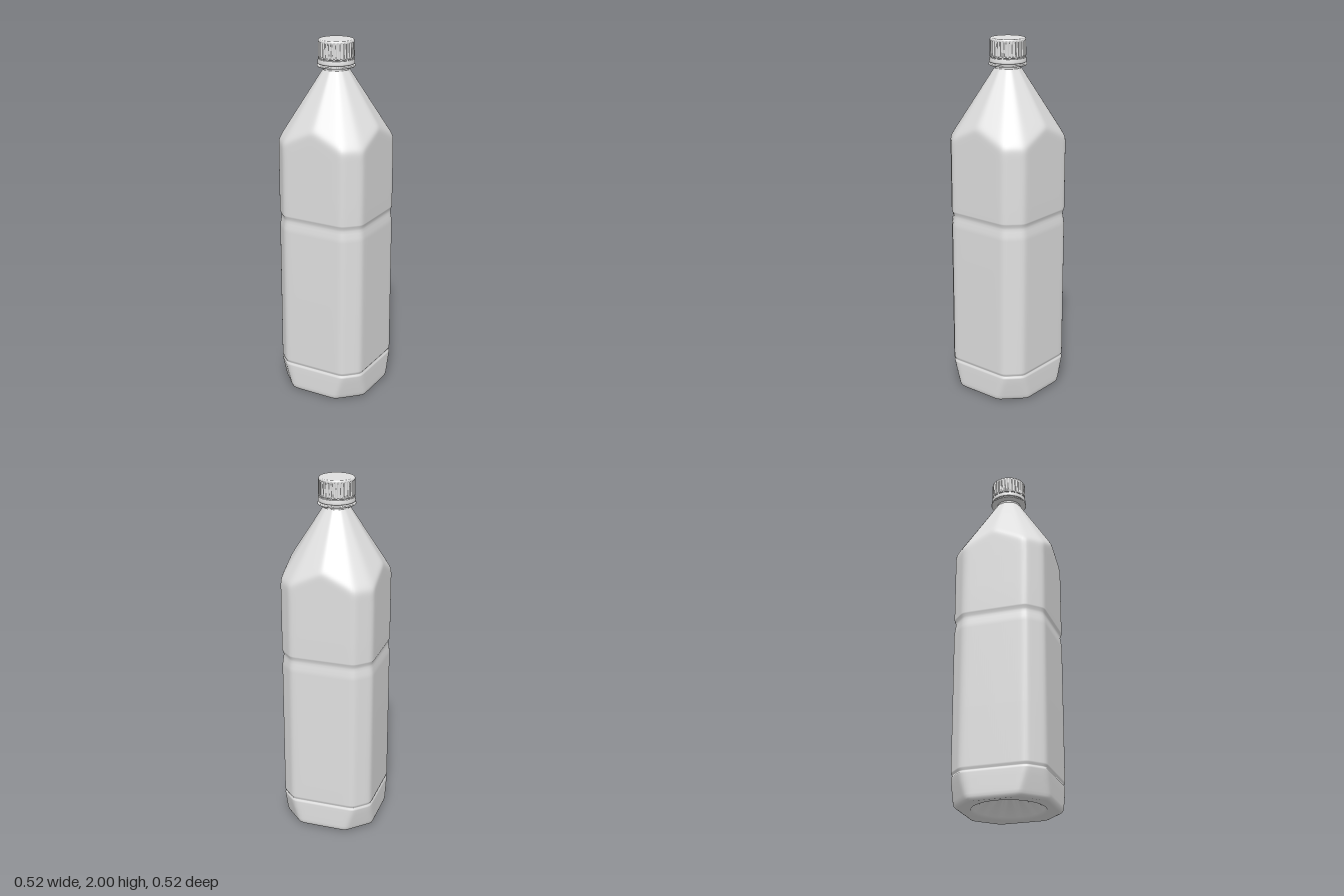
import * as THREE from 'three';

const plastic = new THREE.MeshStandardMaterial({ color: 0xe0e0e0 });
plastic.name = 'pale grey plastic';

// Skin a stack of closed rings; each row is a function angle -> [radius, y].
// Repeating a row gives a sharp edge.
function loft(rows, segs) {
  const pos = [], idx = [];
  rows.forEach((row, i) => {
    for (let j = 0; j < segs; j++) {
      const t = (j / segs) * Math.PI * 2;
      const [r, y] = row(t);
      pos.push(r * Math.cos(t), y, r * Math.sin(t));
      if (i === rows.length - 1) continue;
      const a = i * segs + j, c = i * segs + ((j + 1) % segs);
      idx.push(a, a + segs, c, a + segs, c + segs, c);
    }
  });
  const g = new THREE.BufferGeometry();
  g.setAttribute('position', new THREE.Float32BufferAttribute(pos, 3));
  g.setIndex(idx);
  g.computeVertexNormals();
  return g;
}

// Radius of a softly rounded polygon given as [normal angle, distance] planes
const SOFT = 50;
function polygonRadius(t, planes) {
  let sum = 0;
  for (const [angle, dist] of planes) {
    const c = Math.cos(t - angle);
    if (c > 0) sum += Math.pow((c * 0.25) / dist, SOFT);
  }
  return 0.25 * Math.pow(sum, -1 / SOFT);
}

// Chamfered square body cut by a twelve-sided shoulder cone
function bodyRow(y, flat, chamfer) {
  const rad = THREE.MathUtils.degToRad;
  const cone = 0.067 + 0.65 * (1.85 - y);
  const planes = [];
  for (let q = 0; q < 360; q += 90) {
    planes.push([rad(q), flat], [rad(q + 45), chamfer]);
    planes.push([rad(q + 45), cone * Math.cos(rad(10.5))]);
    for (const s of [17.25, 72.75]) planes.push([rad(q + s), cone * Math.cos(rad(17.25))]);
  }
  return (t) => [polygonRadius(t, planes), y];
}

function makeBody() {
  const rows = [];
  // Hollow underside with radial flutes
  for (let i = 0; i <= 16; i++) {
    const k = i / 16;
    rows.push((t) => {
      const flute = Math.pow(Math.abs(Math.cos(6 * t)), 6) * Math.sin(Math.PI * k);
      return [0.2 * k, 0.004 + 0.1 * (1 - Math.pow(k, 2.2)) + 0.014 * flute];
    });
  }
  // Foot, lower groove, middle groove: height, flat distance, chamfer distance
  const sections = [
    [0, 0.243, 0.262], [0.003, 0.25, 0.27], [0.009, 0.257, 0.278], [0.02, 0.261, 0.283],
    [0.035, 0.262, 0.287], [0.07, 0.262, 0.295], [0.11, 0.262, 0.304], [0.145, 0.262, 0.311],
    [0.153, 0.261, 0.311], [0.159, 0.256, 0.306], [0.164, 0.256, 0.306], [0.172, 0.261, 0.312],
    [0.18, 0.262, 0.3125], [0.5, 0.262, 0.3125], [0.96, 0.262, 0.3125], [0.985, 0.26, 0.31],
    [1.01, 0.256, 0.306], [1.025, 0.254, 0.304], [1.038, 0.255, 0.305], [1.05, 0.26, 0.311],
    [1.058, 0.262, 0.3125], [1.2, 0.262, 0.3125], [1.38, 0.262, 0.3125],
  ];
  for (const s of sections) rows.push(bodyRow(...s));
  // Shoulder
  for (let y = 1.4; y < 1.846; y += 0.01) rows.push(bodyRow(y, 0.262, 0.3125));
  return loft(rows, 144);
}

function makeCap() {
  const RIBS = 32;
  const ring = (r, y, depth = 0) => (t) => {
    const wave = THREE.MathUtils.clamp(0.5 + 1.2 * Math.cos(RIBS * t), 0, 1);
    return [r - depth * wave, y];
  };
  return loft([
    ring(0.08, 1.902), ring(0.097, 1.902), ring(0.097, 1.902), ring(0.098, 1.908), ring(0.098, 1.908),
    ring(0.098, 1.911, 0.005), ring(0.097, 1.985, 0.005), ring(0.097, 1.99),
    ring(0.096, 1.995), ring(0.093, 1.999), ring(0.09, 2), ring(0.09, 2), ring(0, 2),
  ], RIBS * 8);
}

function lathe(points) {
  return new THREE.LatheGeometry(points.map(([x, y]) => new THREE.Vector2(x, y)), 64);
}

export function createModel() {
  const group = new THREE.Group();
  const add = (name, geometry) => {
    const mesh = new THREE.Mesh(geometry, plastic);
    mesh.name = name;
    group.add(mesh);
    return mesh;
  };

  add('bottleBody', makeBody());
  add('neck', lathe([[0.067, 1.835], [0.067, 1.85], [0.07, 1.858], [0.085, 1.905]]));
  add('neckFlange', lathe([
    [0.066, 1.853], [0.1, 1.855], [0.103, 1.858], [0.103, 1.863], [0.1, 1.866], [0.08, 1.867],
  ]));
  add('tamperBand', lathe([
    [0.08, 1.87], [0.097, 1.87], [0.1, 1.873], [0.1, 1.88], [0.098, 1.895], [0.096, 1.897], [0.08, 1.897],
  ]));
  add('cap', makeCap());

  // Small bridges joining the band to the cap
  for (let i = 0; i < 16; i++) {
    const t = (i / 16) * Math.PI * 2;
    const bridge = add('bandBridge', new THREE.BoxGeometry(0.012, 0.009, 0.012));
    bridge.position.set(0.09 * Math.cos(t), 1.8995, 0.09 * Math.sin(t));
    bridge.rotation.y = -t;
  }
  return group;
}
